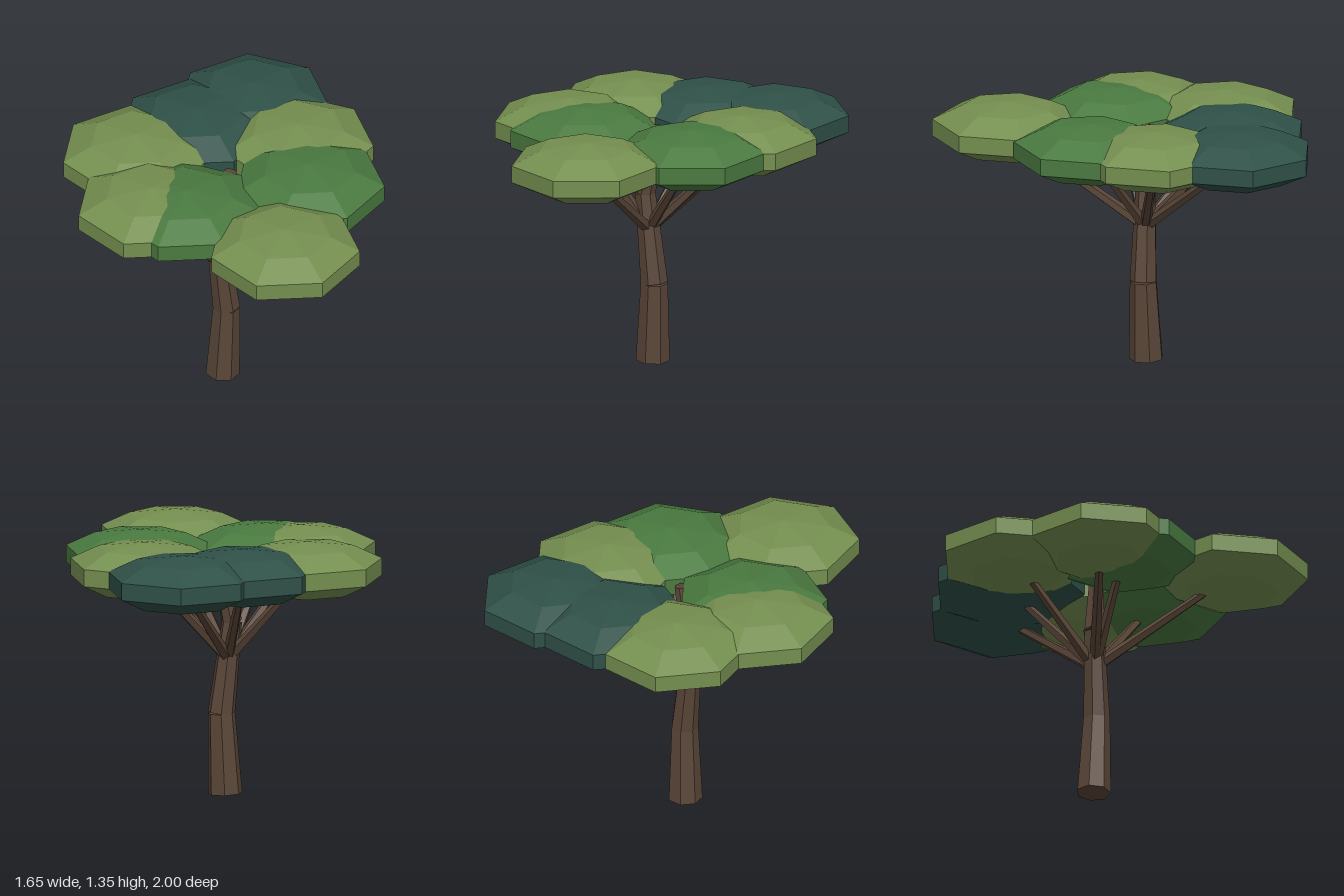
import * as THREE from 'three';

const mat = (color) => new THREE.MeshStandardMaterial({ color, flatShading: true, roughness: 1 });

// Tapered limb running from point a to point b
function limb(name, a, b, r0, r1, sides, material) {
  const from = new THREE.Vector3(...a);
  const dir = new THREE.Vector3(...b).sub(from);
  const length = dir.length();
  const geo = new THREE.CylinderGeometry(r1, r0, length, sides, 1, false, Math.PI / 2);
  geo.translate(0, length / 2, 0);
  const mesh = new THREE.Mesh(geo, material);
  mesh.name = name;
  mesh.position.copy(from);
  mesh.quaternion.setFromUnitVectors(new THREE.Vector3(0, 1, 0), dir.normalize());
  return mesh;
}

export function createModel() {
  const tree = new THREE.Group();
  tree.name = 'flatToppedTree';
  const bark = mat(0x5a4638);
  const light = mat(0x758f50);
  const mid = mat(0x4a7a40);
  const dark = mat(0x2f5148);

  // Crooked trunk: three tapered segments, end to end
  const trunk = new THREE.Group();
  trunk.name = 'trunk';
  const joints = [
    [-0.017, 0.005, 0.042],
    [0.003, 0.42, 0.043],
    [-0.045, 0.89, 0.07],
    [0.022, 1.25, 0.03],
  ];
  const radii = [0.089, 0.071, 0.053, 0.037];
  for (let i = 0; i < 3; i++) {
    trunk.add(limb('trunkSegment', joints[i], joints[i + 1], radii[i], radii[i + 1], 7, bark));
  }
  tree.add(trunk);

  // Each leaf pad (x, z, material) is carried by its own branch
  const pads = [
    [0.39, 0.62, light],
    [0.43, 0.04, mid],
    [0.32, -0.3, light],
    [0.04, -0.62, dark],
    [-0.215, -0.36, dark],
    [-0.48, -0.085, light],
    [-0.333, 0.36, light],
    [-0.155, 0.36, mid],
  ];
  const branches = new THREE.Group();
  branches.name = 'branches';
  const canopy = new THREE.Group();
  canopy.name = 'canopy';
  const padGeo = new THREE.SphereGeometry(1, 7, 5, Math.PI);
  padGeo.scale(0.409, 0.143, 0.409);
  for (const [x, z, material] of pads) {
    branches.add(limb('branch', [-0.027, 0.7, 0.058], [x, 1.2, z], 0.031, 0.018, 5, bark));
    const pad = new THREE.Mesh(padGeo, material);
    pad.name = 'leafPad';
    pad.position.set(x, 1.21, z);
    canopy.add(pad);
  }
  tree.add(branches, canopy);
  return tree;
}
